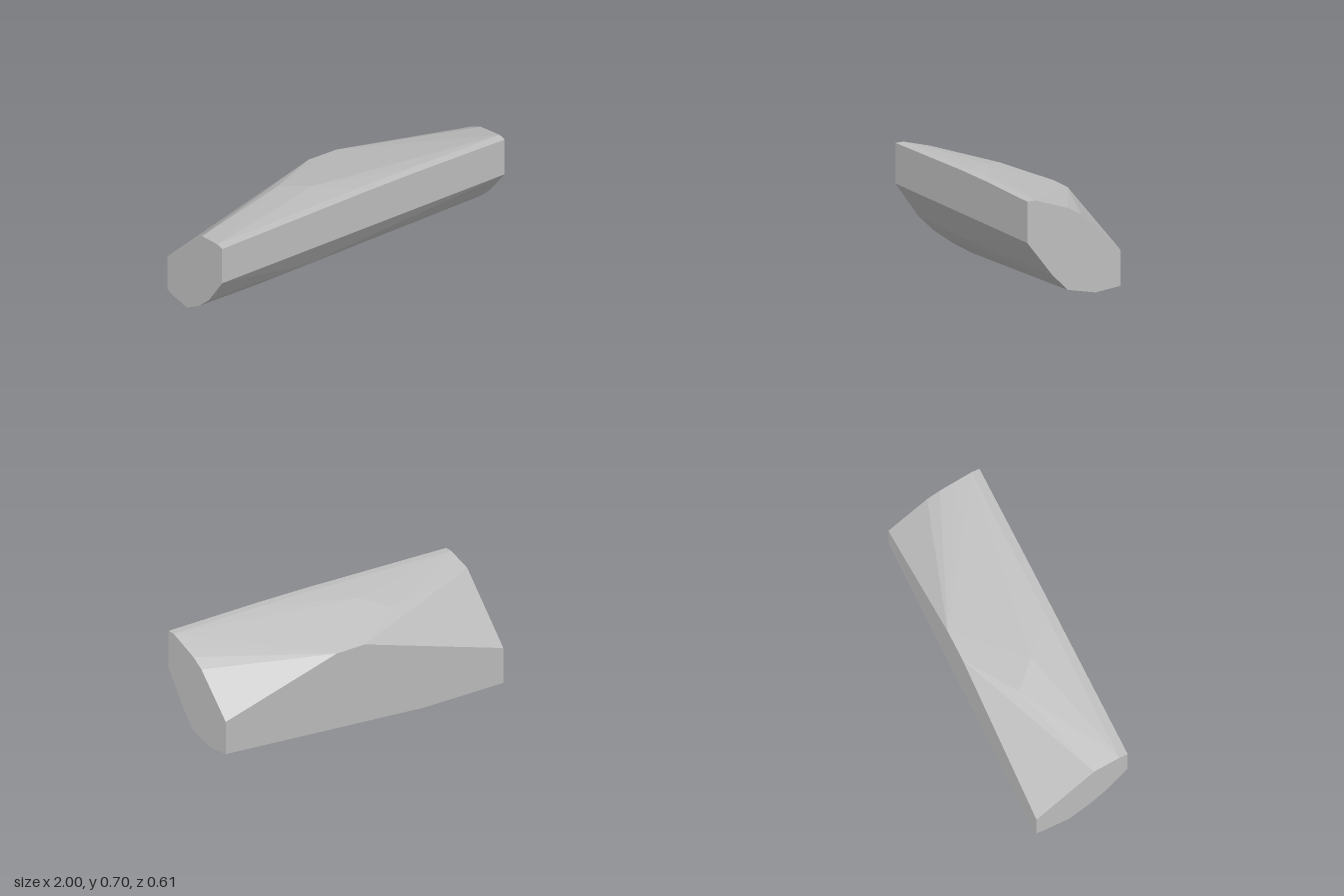
import * as THREE from 'three';
import { ConvexGeometry } from 'three/addons/geometries/ConvexGeometry.js';

// Outline corners as [z, y] at each station along x
const sections = [
  // narrow, low end
  { x: -1, outline: [
    [0.303, 0.41], [0.303, 0.658], [0.25, 0.661], [0.08, 0.622], [-0.303, 0.25],
    [-0.303, 0.014], [-0.25, 0.004], [-0.085, 0.005], [0.055, 0.103], [0.155, 0.2],
  ] },
  // underside bends
  { x: -0.75, outline: [[-0.25, 0], [-0.085, 0.004]] },
  { x: -0.6, outline: [[0.055, 0.103]] },
  { x: -0.42, outline: [[-0.303, 0.02], [-0.14, 0.015]] },
  { x: -0.3, outline: [[0.155, 0.2]] },
  // upper back bends
  { x: -0.35, outline: [[-0.1, 0.634]] },
  { x: -0.2, outline: [[0.055, 0.672]] },
  { x: 0, outline: [[-0.303, 0.577], [0.25, 0.696], [0.303, 0.693]] },
  { x: 0.2, outline: [[-0.303, 0.576]] },
  { x: 0.36, outline: [[0.25, 0.703], [0.303, 0.7]] },
  // wide, high end
  { x: 1, outline: [
    [0.303, 0.45], [0.303, 0.702], [0.25, 0.705], [0.14, 0.672], [0.04, 0.641],
    [-0.045, 0.595], [-0.303, 0.355], [-0.303, 0.137], [-0.14, 0.11], [0.04, 0.141], [0.14, 0.24],
  ] },
];

export function createModel() {
  const stone = new THREE.MeshStandardMaterial({ color: 0xc0c0c0, flatShading: true });
  stone.name = 'grey stone';

  // One faceted block spanning all the stations
  const points = sections.flatMap(({ x, outline }) =>
    outline.map(([z, y]) => new THREE.Vector3(x, y, z)));
  const block = new THREE.Mesh(new ConvexGeometry(points), stone);
  block.name = 'facetedBlock';

  const model = new THREE.Group();
  model.name = 'stoneBlock';
  model.add(block);
  return model;
}
